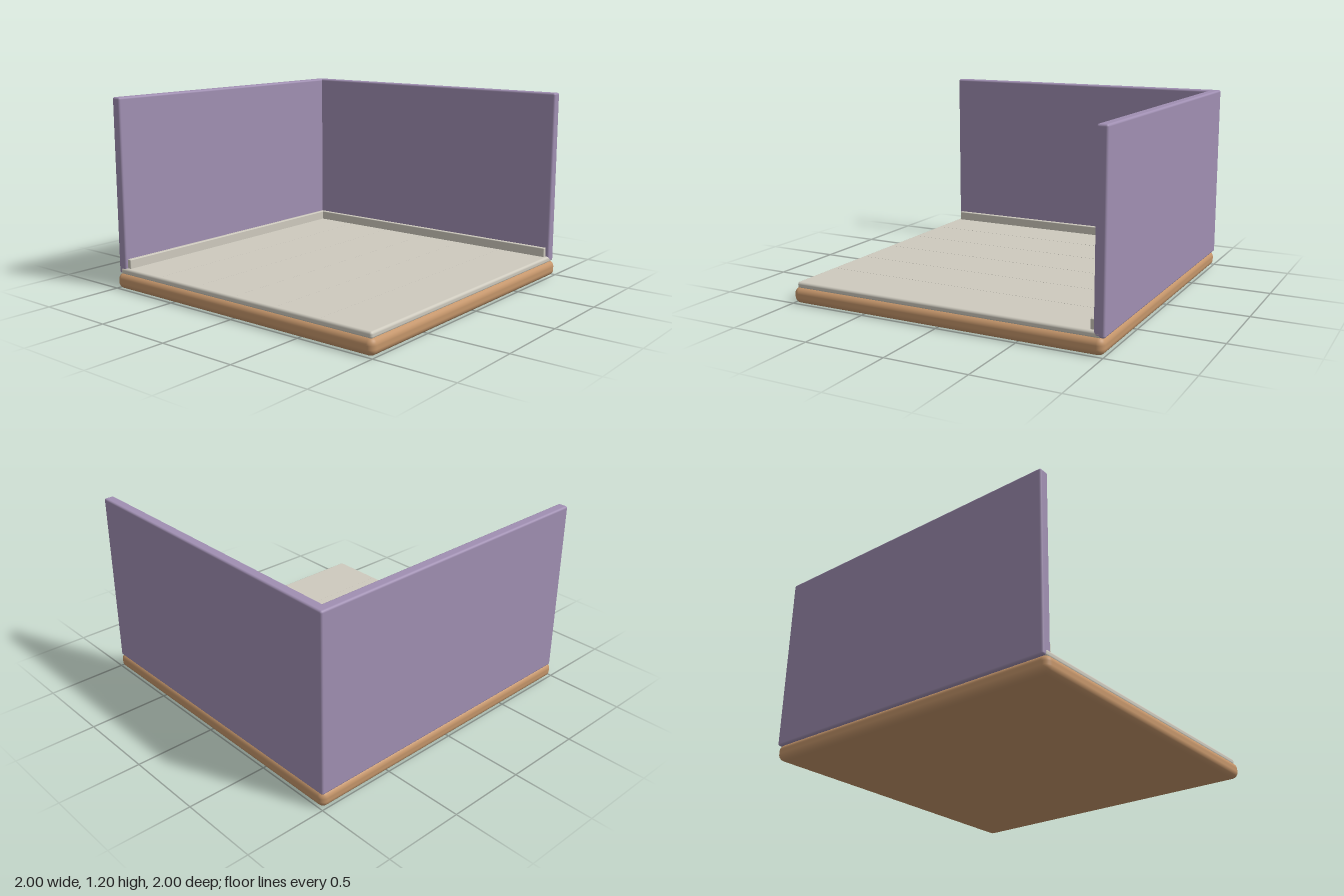
import * as THREE from 'three';
import { RoundedBoxGeometry } from 'three/addons/geometries/RoundedBoxGeometry.js';

const material = (name, color) => {
  const m = new THREE.MeshStandardMaterial({ color });
  m.name = name;
  return m;
};

export function createModel() {
  const wood = material('warm wood', 0xc4956a);
  const paint = material('lilac paint', 0xa08fb2);
  const stone = material('pale floor', 0xcecabe);
  const group = new THREE.Group();
  group.name = 'cornerRoom';

  // Rounded block given by its lower and upper corners
  const block = (name, mat, min, max, radius, segments = 3) => {
    const size = max.map((v, i) => v - min[i]);
    const mesh = new THREE.Mesh(new RoundedBoxGeometry(...size, segments, radius), mat);
    mesh.position.set(...max.map((v, i) => (v + min[i]) / 2));
    mesh.name = name;
    group.add(mesh);
  };

  // Base slab and floor
  block('base', wood, [-1, 0, -1], [1, 0.1, 1], 0.04, 5);
  block('floor', stone, [-0.98, 0.09, -0.98], [0.98, 0.13, 0.98], 0.015);

  // Two walls meeting in the back corner
  block('backWall', paint, [-1, 0.095, -1], [0.98, 1.195, -0.935], 0.013);
  block('sideWall', paint, [-1, 0.095, -1], [-0.935, 1.195, 0.975], 0.013);

  // Skirting boards along the inside of the walls
  block('backSkirting', stone, [-0.945, 0.12, -0.945], [0.958, 0.188, -0.91], 0.005, 2);
  block('sideSkirting', stone, [-0.945, 0.12, -0.945], [-0.91, 0.188, 0.958], 0.005, 2);

  // Fine seams between the floor planks
  for (let i = -2; i <= 2; i++) {
    const seam = new THREE.Mesh(new THREE.BoxGeometry(0.005, 0.002, 1.86), stone);
    seam.position.set(i * 0.313, 0.1295, 0.02);
    seam.name = 'floorSeam';
    group.add(seam);
  }
  return group;
}
